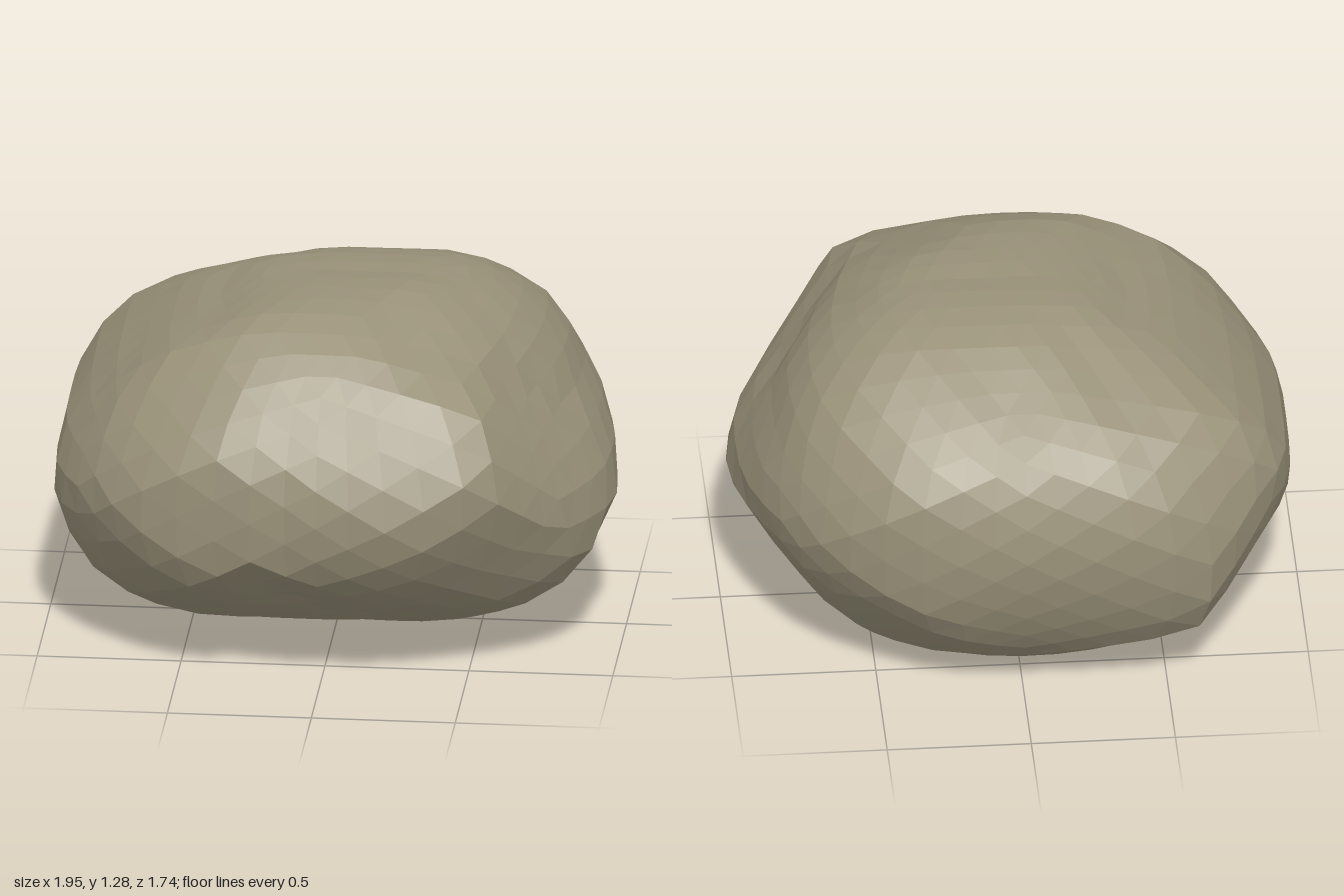
import * as THREE from 'three';

const CENTRE_HEIGHT = 0.65;
const SHARPNESS = 50; // higher gives crisper creases between the worn faces

// Each cut trims the stone to an outline seen from one direction (degrees).
// Its radii are evenly spaced around the outline, beginning at the start angle.
const cuts = [
  { azimuth: 0, elevation: 0, start: -8.6, radii: [1.006, .867, .843, .728, .644, .645, .669, .777,
    .945, 1, .858, .703, .648, .664, .756, .846] },
  { azimuth: 90, elevation: 0, start: 0, radii: [.865, .83, .728, .666, .637, .696, .774, .805,
    .89, .813, .659, .619, .645, .688, .826, .845] },
  { azimuth: 0, elevation: 90, start: -4.4, radii: [.995, .978, 1.014, .915, .876, .916, 1.028, 1.037,
    .993, 1.033, 1.039, .9, .846, .936, 1.026, .974] },
  { azimuth: 35, elevation: 25, start: 0, radii: [1, .885, .702, .667, .751, .844,
    1.03, .882, .647, .635, .797, .866] },
  { azimuth: 215, elevation: 25, start: 0, radii: [1.034, .853, .765, .7, .748, .897,
    1, .858, .795, .75, .769, .961] },
  { azimuth: 140, elevation: -30, start: 0, radii: [1.045, .867, .722, .77, .82, .787,
    .98, .823, .642, .715, .85, .9] },
].map(({ azimuth, elevation, start, radii }) => {
  const a = THREE.MathUtils.degToRad(azimuth);
  const e = THREE.MathUtils.degToRad(elevation);
  return {
    radii,
    start: THREE.MathUtils.degToRad(start),
    right: new THREE.Vector3(Math.cos(a), 0, -Math.sin(a)),
    up: new THREE.Vector3(-Math.sin(a) * Math.sin(e), Math.cos(e), -Math.cos(a) * Math.sin(e)),
  };
});

// Distance along a direction at which it leaves one cut
function reach({ radii, start, right, up }, direction) {
  const u = direction.dot(right);
  const v = direction.dot(up);
  const turn = THREE.MathUtils.euclideanModulo((Math.atan2(v, u) - start) / (2 * Math.PI), 1) * radii.length;
  const i = Math.floor(turn);
  const n = radii.length;
  const radius = THREE.MathUtils.lerp(radii[i % n], radii[(i + 1) % n], turn - i);
  return radius / Math.max(Math.hypot(u, v), 1e-6);
}

// Soft minimum of all cuts: broad faces meeting in slightly rounded creases
function stoneRadius(direction) {
  const sum = cuts.reduce((total, cut) => total + reach(cut, direction) ** -SHARPNESS, 0);
  return sum ** (-1 / SHARPNESS);
}

export function createModel() {
  // Faceted sphere with every corner pulled in to the stone's surface
  const geometry = new THREE.IcosahedronGeometry(1, 7);
  const position = geometry.attributes.position;
  const p = new THREE.Vector3();
  for (let i = 0; i < position.count; i++) {
    p.fromBufferAttribute(position, i).normalize();
    p.multiplyScalar(stoneRadius(p));
    position.setXYZ(i, p.x, p.y + CENTRE_HEIGHT, p.z);
  }
  geometry.computeVertexNormals();

  const boulder = new THREE.Mesh(
    geometry,
    new THREE.MeshStandardMaterial({ color: 0x989078, flatShading: true }),
  );
  boulder.name = 'boulder';

  const group = new THREE.Group();
  group.name = 'rock';
  group.add(boulder);
  return group;
}
